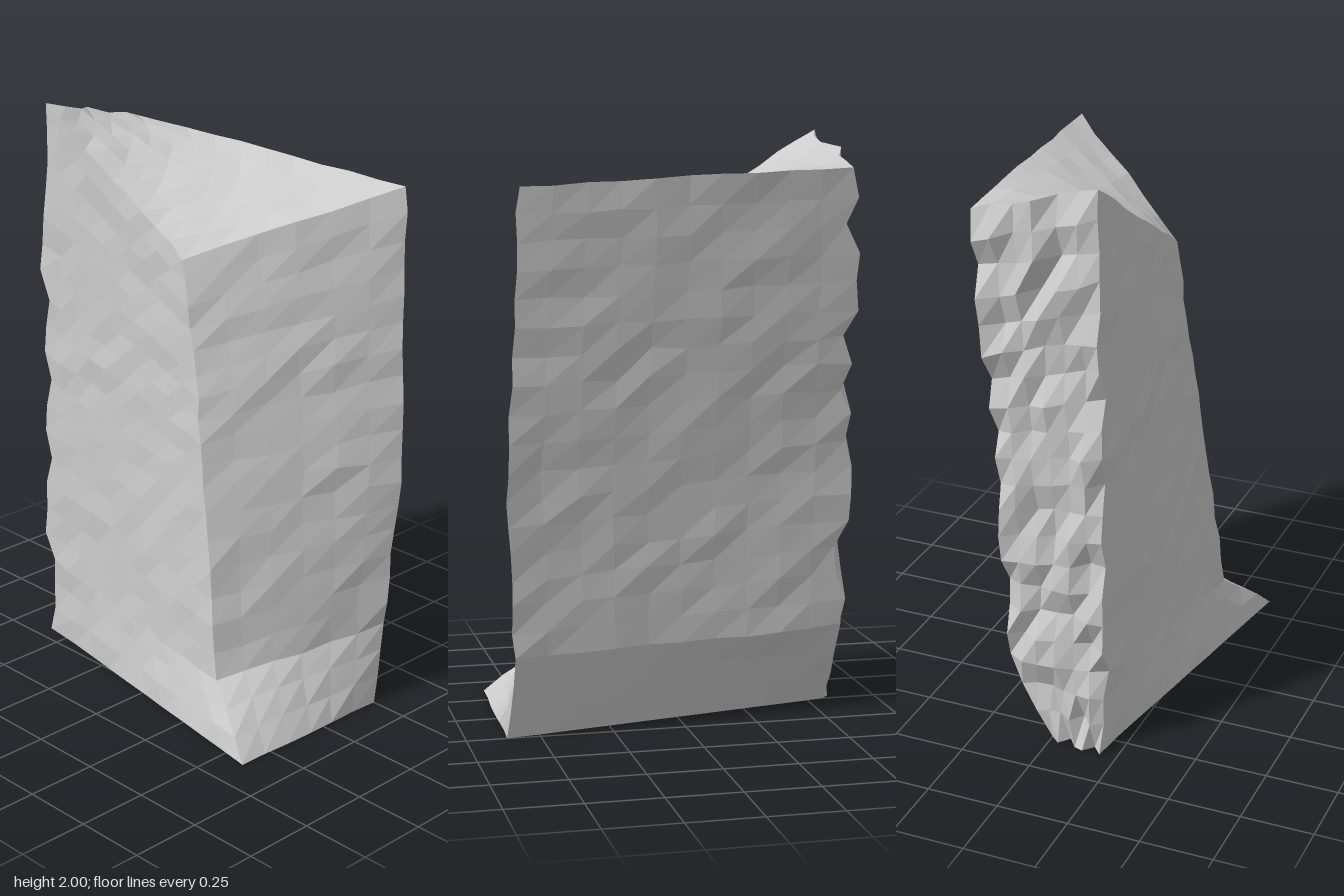
import * as THREE from 'three';

// Four corner edges of the slab, bottom to top: [x, y, z] at each STEP
const STEPS = [0, 0.15, 0.5, 0.75, 1];
const FL = [[-0.38, 0, 0.6], [-0.28, 0.19, 0.37], [-0.225, 0.85, 0.25], [-0.2, 1.22, 0.185], [-0.175, 1.6, 0.1]];
const FR = [[0.25, 0, 0.61], [0.315, 0.28, 0.595], [0.345, 0.9, 0.622], [0.36, 1.38, 0.595], [0.375, 1.835, 0.58]];
const BR = [[0, 0, -0.57], [0.15, 0.3, -0.575], [0.165, 0.95, -0.585], [0.205, 1.4, -0.585], [0.25, 1.88, -0.58]];
const BL = [[-0.19, 0, -0.57], [-0.2, 0.3, -0.575], [-0.2, 1, -0.58], [-0.19, 1.5, -0.575], [-0.18, 2, -0.56]];

const ROWS = 20, WIDE = 6, DEEP = 10;

function along(edge, v) {
  let i = 0;
  while (i < STEPS.length - 2 && v > STEPS[i + 1]) i++;
  const t = (v - STEPS[i]) / (STEPS[i + 1] - STEPS[i]);
  return new THREE.Vector3(...edge[i]).lerp(new THREE.Vector3(...edge[i + 1]), t);
}

// Repeatable noise in -1..1, so neighbouring faces meet at their seams
function noise(p, seed) {
  const k = Math.round(p.x * 500) * 12.9898 + Math.round(p.y * 500) * 78.233 + Math.round(p.z * 500) * 37.719 + seed;
  const s = Math.sin(k) * 43758.5453;
  return (s - Math.floor(s)) * 2 - 1;
}

// Slight unevenness everywhere, strongly broken rock on the back
function roughen(p) {
  const q = p.clone();
  const back = p.z < -0.54;
  q.z += noise(p, 1) * (back ? 0.03 : 0.006);
  if (p.y > 0.001) {
    q.x += noise(p, 2) * 0.005;
    if (p.y < 1.95) q.y += noise(p, 3) * 0.006;
  }
  return q;
}

function patch(name, nu, nv, point, material) {
  const pos = [], index = [];
  for (let j = 0; j <= nv; j++) {
    for (let i = 0; i <= nu; i++) {
      pos.push(...roughen(point(i / nu, j / nv)).toArray());
      if (i < nu && j < nv) {
        const a = j * (nu + 1) + i, c = a + nu + 1;
        index.push(a, a + 1, c + 1, a, c + 1, c);
      }
    }
  }
  const geometry = new THREE.BufferGeometry();
  geometry.setAttribute('position', new THREE.Float32BufferAttribute(pos, 3));
  geometry.setIndex(index);
  geometry.computeVertexNormals();
  const mesh = new THREE.Mesh(geometry, material);
  mesh.name = name;
  return mesh;
}

export function createModel() {
  const group = new THREE.Group();
  group.name = 'cliffSlab';
  const rock = new THREE.MeshStandardMaterial({ color: 0xcccccc, flatShading: true });

  // Upright faces, each stretched between two corner edges
  const walls = [
    ['frontFace', FL, FR, WIDE], ['leftFace', FR, BR, DEEP],
    ['backFace', BR, BL, WIDE], ['rightFace', BL, FL, DEEP],
  ];
  for (const [name, a, b, n] of walls) {
    group.add(patch(name, n, ROWS, (u, v) => along(a, v).lerp(along(b, v), u), rock));
  }

  // Sloping top, slightly hollow, and flat underside
  group.add(patch('topFace', WIDE, DEEP, (u, v) => {
    const p = along(FL, 1).lerp(along(FR, 1), u).lerp(along(BL, 1).lerp(along(BR, 1), u), v);
    p.y -= 0.025 * Math.sin(Math.PI * u) * Math.sin(Math.PI * v);
    return p;
  }, rock));
  group.add(patch('underside', WIDE, DEEP, (u, v) =>
    along(BL, 0).lerp(along(BR, 0), u).lerp(along(FL, 0).lerp(along(FR, 0), u), v), rock));

  return group;
}
